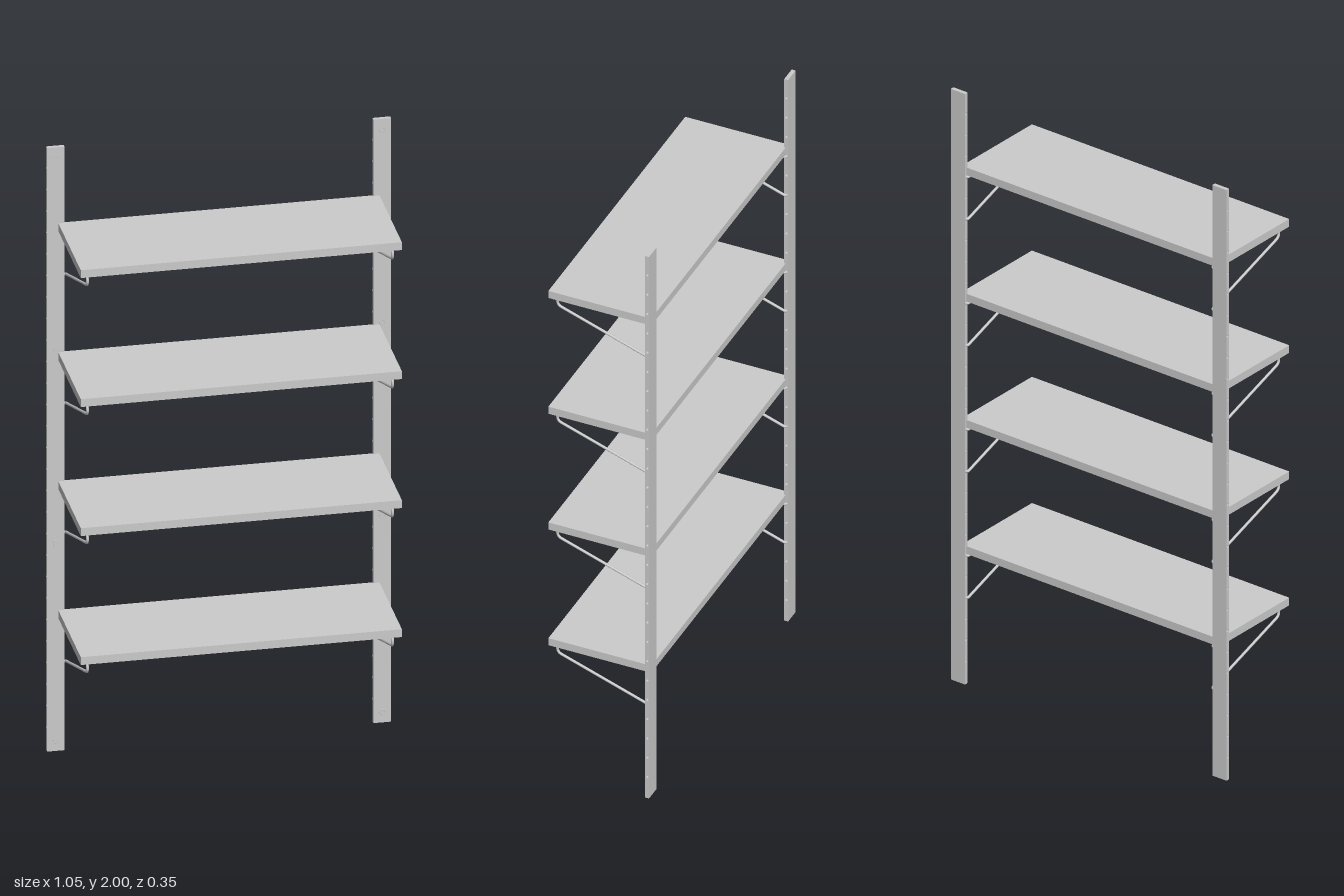
import * as THREE from 'three';

const HOLE_STEP = 0.07125;   // spacing of the peg holes
const TOP_PEG = 1.717;       // height of the uppermost bracket rod
const POST_X = 0.499, POST_W = 0.054;
const POST_BACK = -0.174, POST_FRONT = -0.161;
const ROD_R = 0.0043, ROD_X = 0.4665, ROD_Z = -0.1685;

const material = new THREE.MeshStandardMaterial({ color: 0xcccccc });

function mesh(name, geometry, x = 0, y = 0, z = 0) {
  const m = new THREE.Mesh(geometry, material);
  m.name = name;
  m.position.set(x, y, z);
  return m;
}

// Upright: side profile pierced by a row of peg holes, extruded across its width
function postGeometry() {
  const shape = new THREE.Shape();
  shape.moveTo(-POST_FRONT, 0);
  shape.lineTo(-POST_BACK, 0);
  shape.lineTo(-POST_BACK, 2);
  shape.lineTo(-POST_FRONT, 2);
  shape.closePath();
  for (let k = -23; k <= 3; k++) {
    const hole = new THREE.Path();
    hole.absarc(-ROD_Z, TOP_PEG + k * HOLE_STEP, 0.004, 0, Math.PI * 2, true);
    shape.holes.push(hole);
  }
  const g = new THREE.ExtrudeGeometry(shape, { depth: POST_W, bevelEnabled: false, curveSegments: 6 });
  g.rotateY(Math.PI / 2);
  g.translate(-POST_W / 2, 0, 0);
  return g;
}

// Wire bracket: two pegs joined by a flat top run, a round nose and a sloping brace
function bracketGeometry(side) {
  const drop = -2 * HOLE_STEP, r = 0.0178, noseZ = 0.137, bend = 0.006;
  const p = (x, y, z) => new THREE.Vector3(side * x, y, z);
  const pegX = ROD_X + 0.02;
  const nose = [];
  for (let i = 0; i <= 12; i++) {
    const a = THREE.MathUtils.degToRad(90 - (i / 12) * 160);
    nose.push(p(ROD_X, -r + r * Math.sin(a), noseZ + r * Math.cos(a)));
  }
  const lowCorner = p(ROD_X, drop, ROD_Z);
  const lowStart = lowCorner.clone().lerp(nose[12], bend / lowCorner.distanceTo(nose[12]));
  const path = new THREE.CurvePath();
  path.add(new THREE.LineCurve3(p(pegX, 0, ROD_Z), p(ROD_X + bend, 0, ROD_Z)));
  path.add(new THREE.QuadraticBezierCurve3(p(ROD_X + bend, 0, ROD_Z), p(ROD_X, 0, ROD_Z), p(ROD_X, 0, ROD_Z + bend)));
  path.add(new THREE.LineCurve3(p(ROD_X, 0, ROD_Z + bend), nose[0]));
  path.add(new THREE.CatmullRomCurve3(nose));
  path.add(new THREE.LineCurve3(nose[12], lowStart));
  path.add(new THREE.QuadraticBezierCurve3(lowStart, lowCorner, p(ROD_X + bend, drop, ROD_Z)));
  path.add(new THREE.LineCurve3(p(ROD_X + bend, drop, ROD_Z), p(pegX, drop, ROD_Z)));
  return new THREE.TubeGeometry(path, 180, ROD_R, 10, false);
}

// Screw: shallow head with a small raised rim
function screw(x, y) {
  const g = new THREE.Group();
  g.name = 'screw';
  const head = new THREE.CylinderGeometry(0.009, 0.009, 0.002, 20);
  head.rotateX(Math.PI / 2);
  g.add(mesh('screwHead', head));
  g.add(mesh('screwRim', new THREE.TorusGeometry(0.0078, 0.0012, 6, 20), 0, 0, 0.0006));
  g.position.set(x, y, POST_FRONT);
  return g;
}

export function createModel() {
  const model = new THREE.Group();
  model.name = 'wallShelf';

  // Uprights with their wall screws
  const post = postGeometry();
  for (const side of [-1, 1]) {
    const upright = new THREE.Group();
    upright.name = side > 0 ? 'leftUpright' : 'rightUpright';
    upright.add(mesh('post', post, side * POST_X));
    for (const y of [0.034, 0.688, 1.326, 1.964]) upright.add(screw(side * POST_X, y));
    model.add(upright);
  }

  // Four shelves, each carried by a pair of wire brackets
  const boardT = 0.026, boardBack = -0.1655, boardFront = 0.174;
  const board = new THREE.BoxGeometry(0.982, boardT, boardFront - boardBack);
  const brackets = [-1, 1].map(bracketGeometry);
  for (let i = 0; i < 4; i++) {
    const y = TOP_PEG - i * 6 * HOLE_STEP;
    const shelf = new THREE.Group();
    shelf.name = 'shelf' + (i + 1);
    shelf.add(mesh('board', board, 0, y + ROD_R + boardT / 2, (boardFront + boardBack) / 2));
    shelf.add(mesh('rightBracket', brackets[0], 0, y));
    shelf.add(mesh('leftBracket', brackets[1], 0, y));
    model.add(shelf);
  }
  return model;
}
